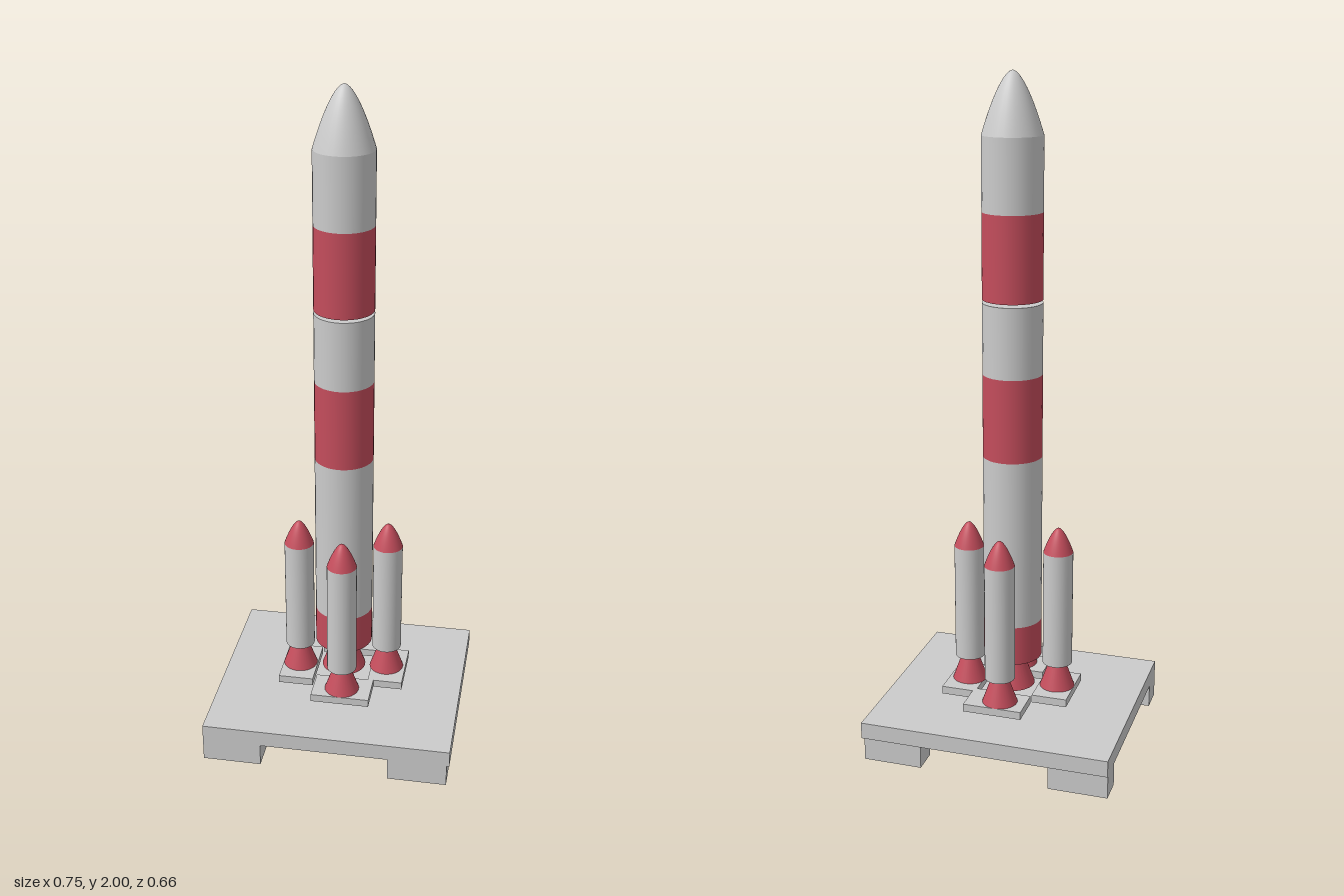
import * as THREE from 'three';

const grey = new THREE.MeshStandardMaterial({ color: 0xcccccc });
const red = new THREE.MeshStandardMaterial({ color: 0xc44d5c });
const SIDES = 32;

function add(parent, name, geometry, material, x, y, z) {
  const mesh = new THREE.Mesh(geometry, material);
  mesh.name = name;
  mesh.position.set(x, y, z);
  parent.add(mesh);
}

// Box given by its limits on each axis
function box(parent, name, x0, x1, y0, y1, z0, z1) {
  add(parent, name, new THREE.BoxGeometry(x1 - x0, y1 - y0, z1 - z0), grey,
    (x0 + x1) / 2, (y0 + y1) / 2, (z0 + z1) / 2);
}

// Upright cylinder or cone section between two heights
function tube(parent, name, material, y0, y1, rBottom, rTop = rBottom) {
  add(parent, name, new THREE.CylinderGeometry(rTop, rBottom, y1 - y0, SIDES), material, 0, (y0 + y1) / 2, 0);
}

// Rounded, pointed nose
function nose(parent, name, material, y0, y1, radius) {
  const points = [];
  for (let i = 0; i <= 12; i++) {
    const s = (1 - i / 12) ** 1.5; // closer rings near the tip
    points.push(new THREE.Vector2(radius * s ** 0.6, (y1 - y0) * (1 - s)));
  }
  add(parent, name, new THREE.LatheGeometry(points, SIDES), material, 0, y0, 0);
}

export function createModel() {
  const model = new THREE.Group();
  model.name = 'rocketOnLaunchPad';

  // Launch platform with four feet
  const platform = new THREE.Group();
  platform.name = 'launchPlatform';
  box(platform, 'deck', -0.378, 0.376, 0.07, 0.12, -0.329, 0.329);
  for (const [x0, x1] of [[-0.378, -0.2], [0.19, 0.368]]) {
    for (const [z0, z1] of [[-0.325, -0.247], [0.247, 0.329]]) {
      box(platform, 'foot', x0, x1, 0, 0.07, z0, z1);
    }
  }
  model.add(platform);

  // Thin pads under the boosters: x0, x1, z0, z1
  const pads = [
    [-0.19, -0.082, -0.088, 0.092],
    [0.089, 0.196, -0.114, 0.066],
    [-0.081, 0.098, -0.203, -0.096],
    [-0.073, 0.107, 0.066, 0.173],
  ];
  for (const [x0, x1, z0, z1] of pads) box(model, 'boosterPad', x0, x1, 0.138, 0.162, z0, z1);

  // Core: banded stages, with a small gap between the two
  const core = new THREE.Group();
  core.name = 'core';
  core.position.z = -0.015;
  tube(core, 'coreNozzle', red, 0.162, 0.26, 0.068, 0.032);
  const bands = [
    ['lowerBand', red, 0.26, 0.38],
    ['lowerBody', grey, 0.38, 0.897],
    ['middleBand', red, 0.897, 1.146],
    ['middleBody', grey, 1.146, 1.356],
    ['upperBand', red, 1.365, 1.614],
    ['upperBody', grey, 1.614, 1.825],
  ];
  for (const [name, material, y0, y1] of bands) tube(core, name, material, y0, y1, 0.088);
  nose(core, 'coreNose', grey, 1.825, 2, 0.088);
  model.add(core);

  // Four strap-on boosters
  for (const [x, z] of [[-0.137, 0.003], [0.135, -0.024], [-0.001, -0.15], [0.016, 0.12]]) {
    const booster = new THREE.Group();
    booster.name = 'booster';
    booster.position.set(x, 0, z);
    tube(booster, 'boosterNozzle', red, 0.162, 0.24, 0.053, 0.025);
    tube(booster, 'boosterBody', grey, 0.24, 0.6, 0.045);
    nose(booster, 'boosterNose', red, 0.6, 0.677, 0.045);
    model.add(booster);
  }
  return model;
}
